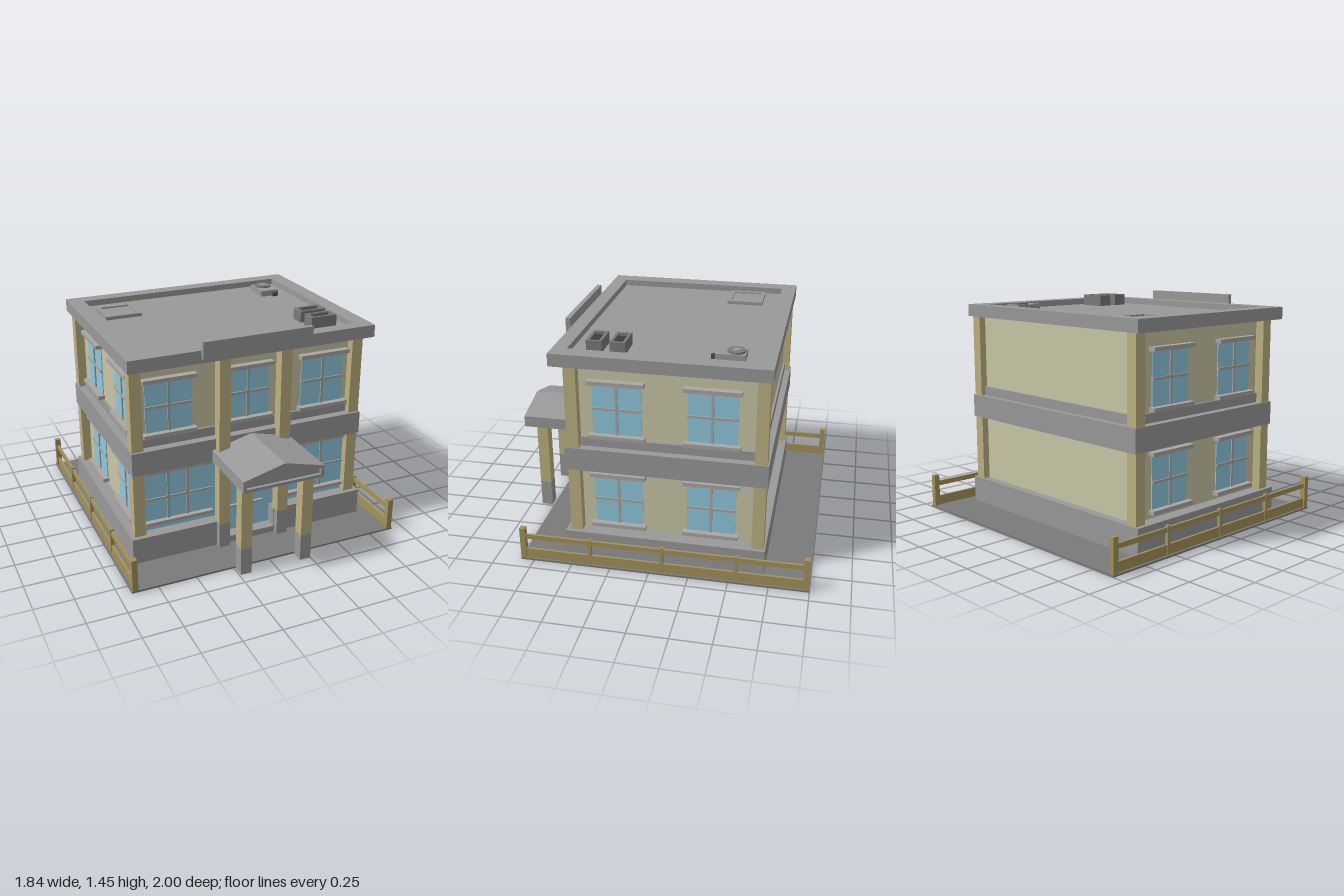
import * as THREE from 'three';

const mat = (name, color) => Object.assign(new THREE.MeshStandardMaterial({ color }), { name });

export function createModel() {
  const M = {
    stone: mat('stone grey', 0x999999),
    ground: mat('paving grey', 0x7a7a7a),
    wall: mat('cream wall', 0xc9c6a6),
    column: mat('ochre column', 0xbdb180),
    fence: mat('fence brown', 0xa3925a),
    glass: mat('window blue', 0x8fc9de),
    frame: mat('frame grey', 0xaaa6a3),
    dark: mat('vent dark', 0x484848),
  };
  const root = new THREE.Group();
  root.name = 'building';

  const add = (parent, name, geo, m) => {
    const mesh = new THREE.Mesh(geo, m);
    mesh.name = name;
    parent.add(mesh);
    return mesh;
  };
  // Box given by its minimum and maximum on each axis
  const box = (parent, name, m, x0, x1, y0, y1, z0, z1) => {
    const mesh = add(parent, name, new THREE.BoxGeometry(x1 - x0, y1 - y0, z1 - z0), m);
    mesh.position.set((x0 + x1) / 2, (y0 + y1) / 2, (z0 + z1) / 2);
    return mesh;
  };
  const group = (name, parent = root) => {
    const g = new THREE.Group();
    g.name = name;
    parent.add(g);
    return g;
  };
  const poly = (pts, Type = THREE.Shape) => new Type(pts.map(p => new THREE.Vector2(...p)));
  const rect = (x0, x1, y0, y1) => [[x0, y0], [x1, y0], [x1, y1], [x0, y1]];
  // Flat rectangular ring, top at y
  const ring = (parent, name, m, outer, inner, y, height) => {
    const s = poly(rect(...outer));
    s.holes.push(poly(rect(...inner), THREE.Path));
    const geo = new THREE.ExtrudeGeometry(s, { depth: height, bevelEnabled: false });
    geo.rotateX(Math.PI / 2);
    add(parent, name, geo, m).position.y = y;
  };

  // Ground slab and main body
  box(root, 'ground', M.ground, -0.92, 0.92, 0, 0.012, -1, 0.835);
  box(root, 'walls', M.wall, -0.73, 0.73, 0.1, 1.34, -0.655, 0.475);
  box(root, 'floorBand', M.stone, -0.795, 0.795, 0.62, 0.77, -0.71, 0.545);
  box(root, 'bandStrip', M.stone, -0.745, 0.745, 0.765, 0.83, -0.67, 0.49);

  // Plinth, open in front of the door
  box(root, 'plinth', M.stone, -0.815, 0.815, 0.012, 0.185, -0.71, 0.45);
  for (const s of [-1, 1]) {
    box(root, 'frontPlinth', M.stone, Math.min(s * 0.165, s * 0.815), Math.max(s * 0.165, s * 0.815),
      0.012, 0.185, 0.45, 0.56);
  }
  box(root, 'doorStep', M.stone, -0.17, 0.17, 0.012, 0.055, 0.45, 0.56);

  // Corner columns, front pilasters and porch posts
  for (const s of [-1, 1]) {
    const cx = s * 0.752, px = s * 0.207, w = 0.037;
    box(root, 'frontCornerColumn', M.column, cx - w, cx + w, 0.18, 1.32, 0.455, 0.53);
    box(root, 'backCornerColumn', M.column, cx - w, cx + w, 0.18, 1.32, -0.7, -0.625);
    box(root, 'pilaster', M.column, px - w, px + w, 0.185, 1.32, 0.527, 0.6);
    box(root, 'pilasterBase', M.stone, px - w, px + w, 0.005, 0.185, 0.527, 0.6);
    box(root, 'porchPost', M.column, px - w, px + w, 0.185, 0.64, 0.85, 0.925);
    box(root, 'porchPostBase', M.stone, px - w, px + w, 0.005, 0.185, 0.85, 0.925);
  }

  // Four-pane window facing +z, centred in x, sill to lintel in y
  const addWindow = (w, y0, y1, x, z, turn) => {
    const g = group('window');
    const h = w / 2, my = (y0 + y1) / 2;
    box(g, 'glass', M.glass, -h, h, y0, y1, 0, 0.006);
    box(g, 'mullion', M.frame, -0.008, 0.008, y0, y1, 0, 0.014);
    box(g, 'transom', M.frame, -h, h, my - 0.008, my + 0.008, 0, 0.014);
    box(g, 'lintel', M.frame, -h - 0.022, h + 0.022, y1, y1 + 0.025, 0, 0.045);
    box(g, 'sill', M.frame, -h - 0.022, h + 0.022, y0 - 0.025, y0, 0, 0.045);
    g.position.set(x, 0, z);
    g.rotation.y = turn;
  };
  for (const x of [-0.528, 0, 0.528]) addWindow(x ? 0.305 : 0.285, 0.86, 1.19, x, 0.475, 0);
  for (const s of [-1, 1]) {
    for (const z of [0.222, -0.362]) {
      addWindow(0.305, 0.86, 1.19, s * 0.73, z, s * Math.PI / 2);
      addWindow(0.305, 0.24, 0.57, s * 0.73, z, s * Math.PI / 2);
    }
  }

  // Ground-floor shop windows
  for (const s of [-1, 1]) {
    const g = group('shopWindow');
    box(g, 'glass', M.glass, -0.235, 0.235, 0.18, 0.62, 0, 0.006);
    for (const y of [0.6, 0.24]) box(g, 'rail', M.frame, -0.228, 0.228, y - 0.011, y + 0.011, 0, 0.04);
    box(g, 'transom', M.frame, -0.235, 0.235, 0.394, 0.408, 0, 0.014);
    for (const x of [-0.065, 0.065]) box(g, 'mullion', M.frame, x - 0.008, x + 0.008, 0.25, 0.575, 0, 0.014);
    g.position.set(s * 0.48, 0, 0.475);
  }

  // Glazed entrance
  const door = group('door');
  box(door, 'doorGlass', M.glass, -0.245, 0.245, 0.055, 0.62, 0.475, 0.481);
  box(door, 'doorTransom', M.frame, -0.17, 0.17, 0.394, 0.408, 0.475, 0.49);
  box(door, 'doorHandle', M.frame, -0.125, 0.115, 0.229, 0.242, 0.475, 0.5);

  // Porch roof with a recessed gable front
  const porch = group('porchRoof');
  const gable = (hx, y0, y1, peak) => [[-hx, y0], [hx, y0], [hx, y1], [0, peak], [-hx, y1]];
  const outline = gable(0.27, 0.62, 0.695, 0.765);
  const extrude = (s, depth) => new THREE.ExtrudeGeometry(s, { depth, bevelEnabled: false });
  add(porch, 'porchBody', extrude(poly(outline), 0.44), M.stone).position.z = 0.54;
  const rim = poly(outline);
  rim.holes.push(poly(gable(0.247, 0.64, 0.677, 0.742), THREE.Path));
  add(porch, 'gableRim', extrude(rim, 0.02), M.stone).position.z = 0.98;

  // Roof, parapet and blank front board
  box(root, 'roofDeck', M.stone, -0.76, 0.76, 1.315, 1.35, -0.66, 0.56);
  ring(root, 'parapet', M.stone, [-0.82, 0.82, -0.715, 0.61], [-0.715, 0.715, -0.62, 0.52], 1.39, 0.08);
  box(root, 'soffit', M.stone, -0.8, 0.8, 1.311, 1.33, -0.7, 0.6);
  box(root, 'frontBoard', M.stone, -0.365, 0.36, 1.34, 1.45, 0.61, 0.64);

  // Roof hatch
  ring(root, 'hatchRim', M.stone, [-0.67, -0.425, -0.51, -0.27], [-0.643, -0.45, -0.483, -0.297], 1.372, 0.024);
  box(root, 'hatchLid', M.stone, -0.643, -0.45, 1.345, 1.362, -0.483, -0.297);

  // Cooling unit with round fan and pipe
  const unit = group('coolingUnit');
  box(unit, 'unitCase', M.stone, 0.5, 0.63, 1.345, 1.39, -0.53, -0.35);
  const fan = add(unit, 'fanRim', new THREE.CylinderGeometry(0.056, 0.056, 0.014, 20), M.ground);
  fan.position.set(0.567, 1.394, -0.47);
  const hub = add(unit, 'fanHub', new THREE.CylinderGeometry(0.024, 0.024, 0.004, 16), M.stone);
  hub.position.set(0.567, 1.402, -0.47);
  box(unit, 'unitPipe', M.dark, 0.58, 0.615, 1.35, 1.375, -0.35, -0.325);

  // Two open roof vents
  for (const z of [0.23, 0.375]) {
    const vent = group('roofVent');
    ring(vent, 'ventCase', M.ground, [0.47, 0.65, z - 0.048, z + 0.048],
      [0.49, 0.633, z - 0.03, z + 0.03], 1.425, 0.08);
    box(vent, 'ventGrille', M.dark, 0.49, 0.633, 1.345, 1.405, z - 0.03, z + 0.03);
    for (let i = 0; i < 4; i++) {
      const x = 0.514 + i * 0.031;
      box(vent, 'ventSlat', M.dark, x - 0.005, x + 0.005, 1.4, 1.415, z - 0.03, z + 0.03);
    }
  }

  // Side fences
  for (const s of [-1, 1]) {
    const f = group('fence');
    f.position.x = s * 0.897;
    for (const z of [0.817, -0.977]) box(f, 'fenceEndPost', M.fence, -0.018, 0.018, 0.01, 0.225, z - 0.018, z + 0.018);
    for (const z of [0.38, -0.08, -0.545]) box(f, 'fencePost', M.fence, -0.012, 0.012, 0.01, 0.19, z - 0.011, z + 0.011);
    box(f, 'topRail', M.fence, -0.008, 0.008, 0.148, 0.18, -0.97, 0.81);
    box(f, 'bottomRail', M.fence, -0.008, 0.008, 0.01, 0.075, -0.97, 0.81);
  }
  return root;
}
